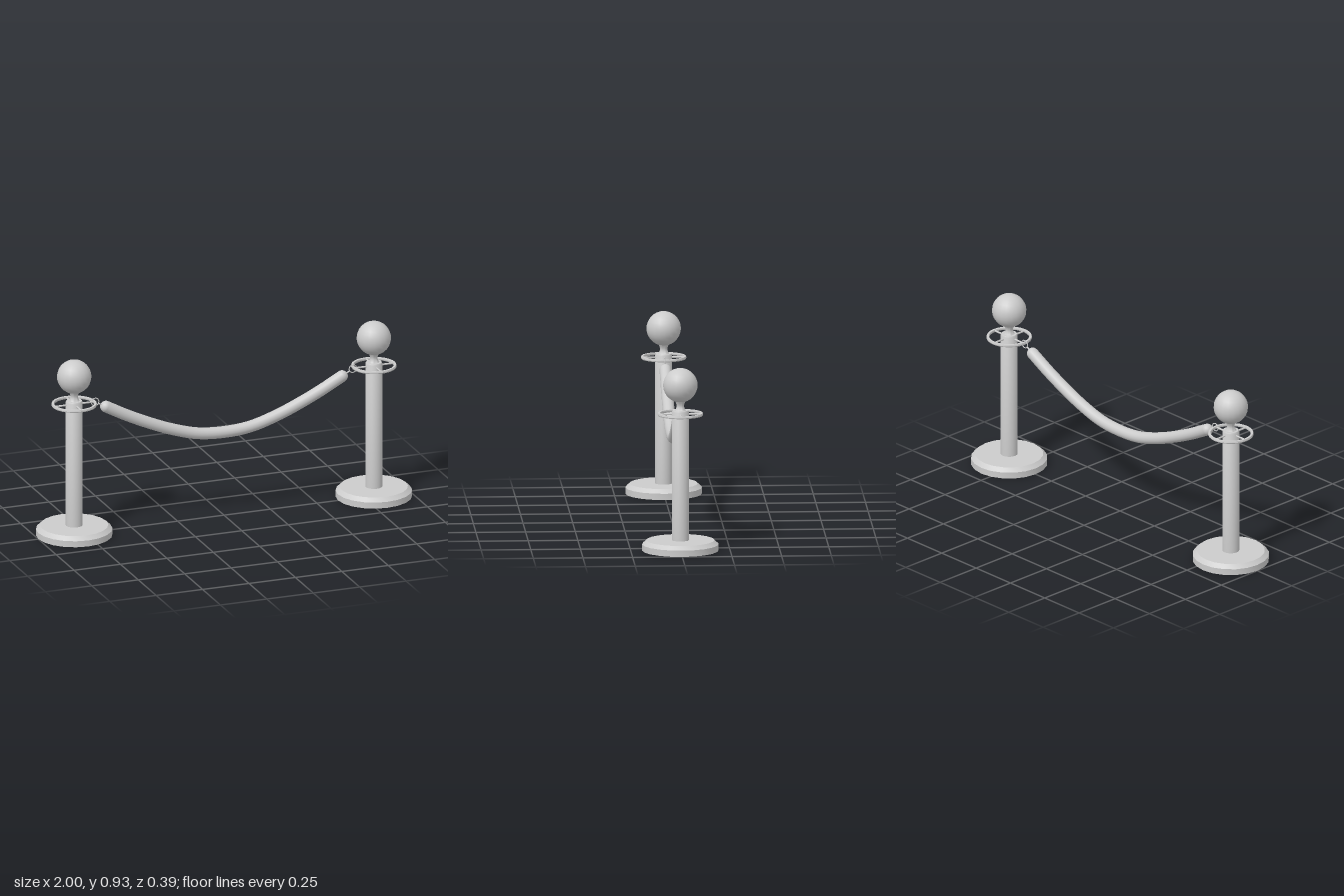
import * as THREE from 'three';
import { toCreasedNormals } from 'three/addons/utils/BufferGeometryUtils.js';

const POST_X = 0.807;
const material = new THREE.MeshStandardMaterial({ color: 0xcccccc });

function part(parent, name, geometry, x = 0, y = 0, z = 0) {
  const mesh = new THREE.Mesh(geometry, material);
  mesh.name = name;
  mesh.position.set(x, y, z);
  parent.add(mesh);
  return mesh;
}

// Turned part from [radius, height] pairs, bottom to top
function turned(profile, sides) {
  const points = profile.map(([r, y]) => new THREE.Vector2(r, y));
  return toCreasedNormals(new THREE.LatheGeometry(points, sides), 0.6);
}

function createPost() {
  const post = new THREE.Group();
  post.name = 'post';

  part(post, 'base', turned([[0, 0], [0.193, 0], [0.193, 0.032], [0.172, 0.052], [0, 0.052]], 20));
  part(post, 'column', turned([[0.043, 0.05], [0.043, 0.708], [0.039, 0.715], [0, 0.715]], 20));
  part(post, 'neck', turned([
    [0.03, 0.712], [0.024, 0.72], [0.019, 0.732], [0.019, 0.742], [0.023, 0.754], [0.031, 0.768],
  ], 20));
  part(post, 'ballFinial', new THREE.SphereGeometry(0.087, 20, 14), 0, 0.843);

  // Flat hoop held by four spokes
  part(post, 'hoop', turned([
    [0.102, 0.689], [0.113, 0.689], [0.115, 0.694], [0.113, 0.702],
    [0.102, 0.702], [0.1, 0.696], [0.102, 0.689],
  ], 28));
  for (let i = 0; i < 4; i++) {
    const angle = i * Math.PI / 2;
    const spoke = part(post, 'spoke', new THREE.CylinderGeometry(0.005, 0.005, 0.068, 8),
      Math.cos(angle) * 0.072, 0.695, Math.sin(angle) * 0.072);
    spoke.rotation.set(0, -angle, Math.PI / 2);
  }
  return post;
}

export function createModel() {
  const model = new THREE.Group();
  model.name = 'ropeBarrier';

  for (const side of [-1, 1]) {
    const post = createPost();
    post.position.x = side * POST_X;
    model.add(post);

    // Wire hook looped over the hoop, with a shank into the rope end
    part(model, 'hookLoop', new THREE.TorusGeometry(0.02, 0.0028, 6, 20), side * 0.694, 0.693);
    const shank = new THREE.LineCurve3(
      new THREE.Vector3(side * 0.677, 0.683, 0), new THREE.Vector3(side * 0.645, 0.667, 0));
    part(model, 'hookShank', new THREE.TubeGeometry(shank, 1, 0.004, 8));

    // Rounded rope end
    const cap = part(model, 'ropeEnd', new THREE.SphereGeometry(0.03, 16, 10), side * 0.636, 0.661);
    cap.scale.setScalar(0.99);
  }

  // Sagging rope
  const half = [[0.636, 0.661], [0.52, 0.599], [0.4, 0.543], [0.28, 0.495], [0.14, 0.455]];
  const points = [
    ...half.map(([x, y]) => new THREE.Vector3(-x, y, 0)),
    new THREE.Vector3(0, 0.444, 0),
    ...half.slice().reverse().map(([x, y]) => new THREE.Vector3(x, y, 0)),
  ];
  part(model, 'rope', new THREE.TubeGeometry(new THREE.CatmullRomCurve3(points), 40, 0.03, 16));

  return model;
}
